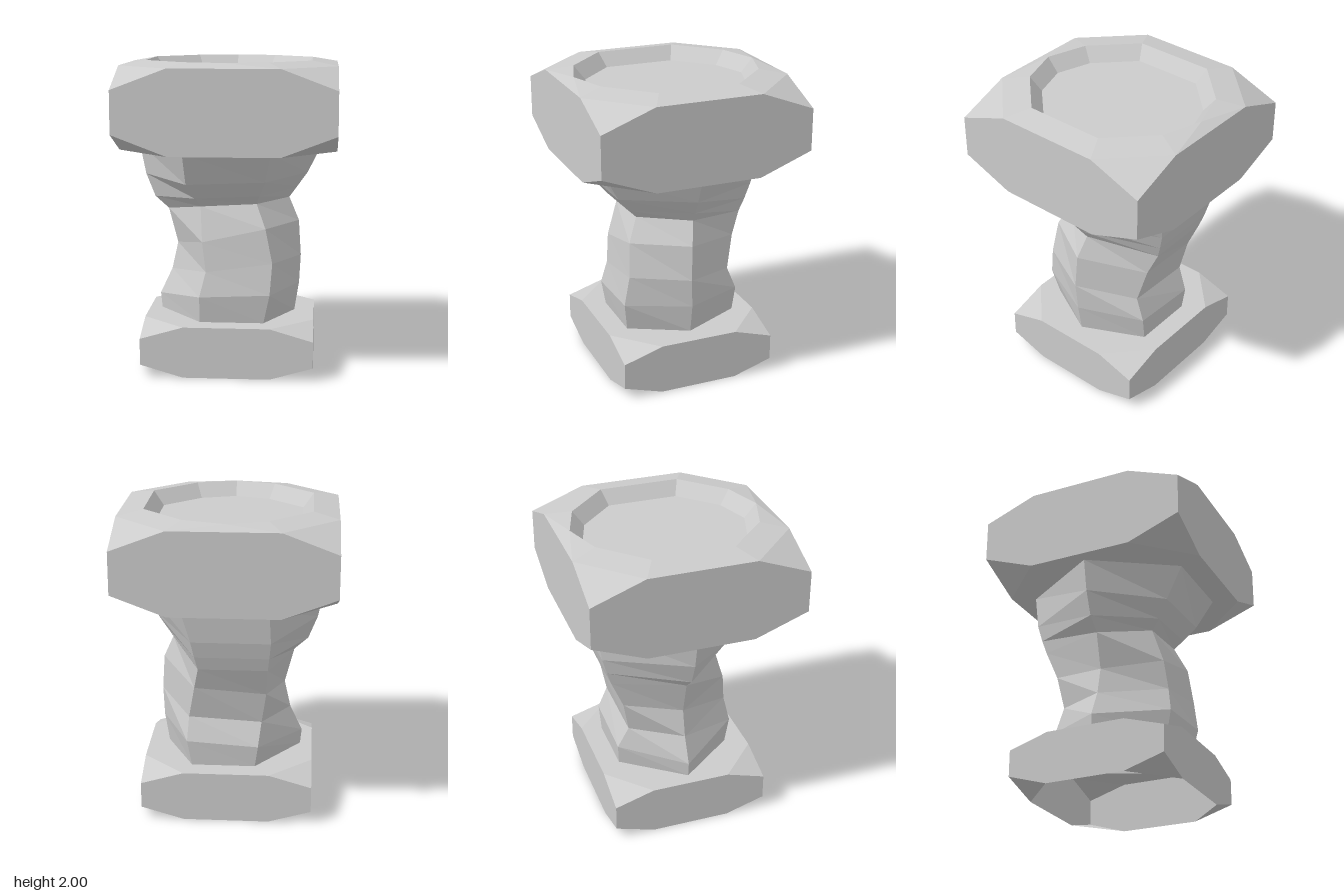
import * as THREE from 'three';

const V = (x, y, z) => new THREE.Vector3(x, y, z);
const UP = V(0, 1, 0), DOWN = V(0, -1, 0);

// Collects flat polygons; each is wound so that it faces the "out" direction
class Facets {
  constructor() { this.points = []; }

  face(pts, out) {
    for (let i = 1; i < pts.length - 1; i++) {
      const [a, b, c] = [pts[0], pts[i], pts[i + 1]];
      const n = b.clone().sub(a).cross(c.clone().sub(a));
      this.points.push(...(n.dot(out) < 0 ? [a, c, b] : [a, b, c]));
    }
  }

  // Fills the area between two closed loops lying roughly level
  ring(outer, inner, out) {
    const flat = loop => loop.map(p => new THREE.Vector2(p.x, p.z));
    const all = [...outer, ...inner];
    for (const tri of THREE.ShapeUtils.triangulateShape(flat(outer), [flat(inner)])) {
      this.face(tri.map(i => all[i]), out);
    }
  }

  // Joins two loops with the same number of corners
  band(low, high, sign = 1) {
    low.forEach((a, i) => {
      const j = (i + 1) % low.length;
      const out = V(a.x + low[j].x, 0, a.z + low[j].z).multiplyScalar(sign);
      this.face([a, low[j], high[j], high[i]], out);
      // (the quad is split along a-high[j])
    });
  }

  mesh(name) {
    const g = new THREE.BufferGeometry().setFromPoints(this.points);
    g.computeVertexNormals();
    const m = new THREE.Mesh(g, new THREE.MeshStandardMaterial({
      color: 0xcccccc, flatShading: true, side: THREE.DoubleSide }));
    m.name = name;
    return m;
  }
}

// Octagon touching the middle half of each side of a rectangle
const octagon = (hx, hz, y, cz = 0) => [
  [1, -.5], [1, .5], [.5, 1], [-.5, 1], [-1, .5], [-1, -.5], [-.5, -1], [.5, -1],
].map(([x, z]) => V(x * hx, y, z * hz + cz));

// Walls of a square block whose eight corners are cut back by triangles
function cutBlock(f, hx, hz, y0, y1, cut, cz = 0) {
  const low = octagon(hx, hz, y0, cz), high = octagon(hx, hz, y1, cz);
  const corner = (sx, sz, y) => V(sx * hx, y, sz * hz + cz);
  const signs = [[1, 1], [-1, 1], [-1, -1], [1, -1]];
  signs.forEach(([sx, sz], k) => {
    const [px, pz] = signs[(k + 3) % 4];
    const a = 2 * k, b = a + 1, c = (a + 2) % 8;
    // side wall between two corners
    f.face([low[a], low[b], corner(sx, sz, y0 + cut), corner(sx, sz, y1 - cut),
      high[b], high[a], corner(px, pz, y1 - cut), corner(px, pz, y0 + cut)],
    V(sx + px, 0, sz + pz));
    // upper and lower corner triangles
    f.face([high[b], high[c], corner(sx, sz, y1 - cut)], UP);
    f.face([low[b], low[c], corner(sx, sz, y0 + cut)], DOWN);
  });
  return { low, high };
}

// Column rings, bottom to top: right, front right, front left, left, back left, back right
const columnRings = [
  [[.42, .33, 0], [.23, .33, .37], [-.18, .33, .37], [-.47, .33, 0], [-.18, .33, -.39], [.23, .33, -.39]],
  [[.45, .52, 0], [.27, .52, .4], [-.18, .5, .4], [-.48, .43, 0], [-.2, .47, -.4], [.26, .5, -.4]],
  [[.46, .71, .01], [.285, .72, .37], [-.14, .66, .37], [-.4, .6, 0], [-.22, .62, -.33], [.25, .65, -.34]],
  [[.445, .94, 0], [.24, .94, .35], [-.165, .85, .35], [-.36, .78, 0], [-.25, .83, -.37], [.21, .87, -.39]],
  [[.38, 1.09, -.03], [.18, 1.09, .28], [-.18, 1.07, .28], [-.42, 1.01, 0], [-.26, 1.02, -.45], [.18, 1.02, -.45]],
  [[.43, 1.16, -.02], [.2, 1.15, .34], [-.21, 1.13, .34], [-.51, 1.09, 0], [-.27, 1.11, -.48], [.2, 1.11, -.48]],
  [[.5, 1.26, -.01], [.24, 1.25, .42], [-.26, 1.23, .42], [-.57, 1.24, 0], [-.28, 1.22, -.51], [.22, 1.22, -.51]],
  [[.59, 1.44, 0], [.28, 1.44, .53], [-.27, 1.44, .53], [-.61, 1.44, 0], [-.27, 1.44, -.54], [.28, 1.44, -.54]],
].map(ring => ring.map(p => V(...p)));

export function createModel() {
  const model = new THREE.Group();
  model.name = 'pedestal';

  // Twisted hollow six-sided column
  const column = new Facets();
  for (let i = 0; i < columnRings.length - 1; i++) column.band(columnRings[i], columnRings[i + 1]);
  model.add(column.mesh('column'));

  // Foot block, open underneath
  const foot = new Facets();
  const footLoops = cutBlock(foot, .55, .517, 0, .33, .08, -.007);
  foot.ring(footLoops.high, columnRings[0], UP);
  model.add(foot.mesh('foot'));

  // Head block with a raised rim around a shallow basin
  const head = new Facets();
  const headLoops = cutBlock(head, .687, .687, 1.44, 1.97, .13);
  head.ring(headLoops.low, columnRings[columnRings.length - 1], DOWN);
  const basin = (s, y) => [
    [.525, -.262], [.525, .262], [.262, .525], [0, .61], [-.262, .525],
    [-.525, .262], [-.525, -.262], [-.262, -.525], [0, -.61], [.262, -.525],
  ].map(([x, z]) => V(x * s, y, z * s));
  const rim = basin(1, 2), floor = basin(.873, 1.91);
  head.ring(headLoops.high, rim, UP);
  head.band(floor, rim, -1);
  head.face(floor, UP);
  model.add(head.mesh('head'));

  return model;
}
